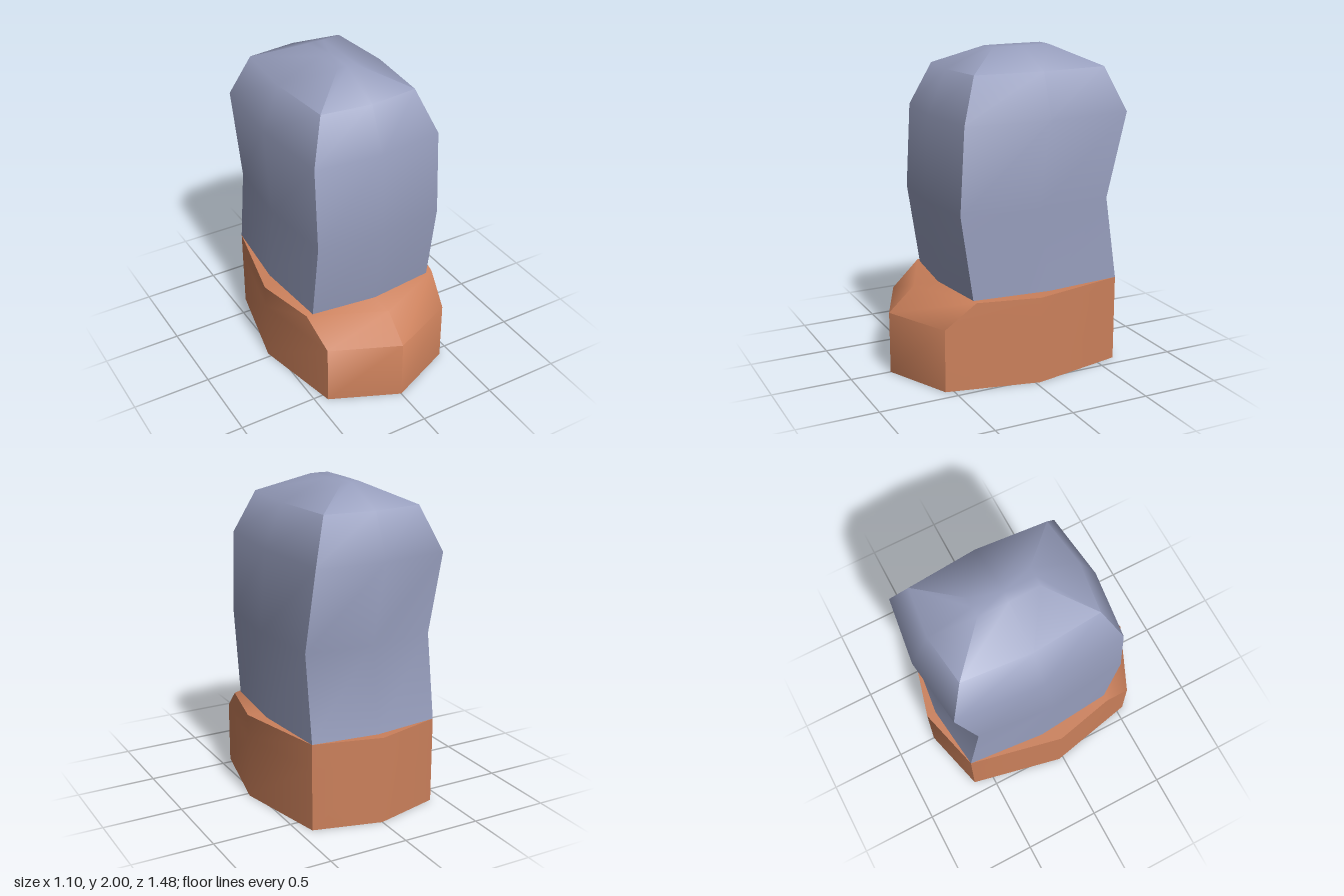
import * as THREE from 'three';
import { toCreasedNormals } from 'three/addons/utils/BufferGeometryUtils.js';

// Eight-sided ring: bulging middles of each side, plus four corners.
// y, frontX/backX = corner half widths, sideX/sideZ = side middle,
// zf/zfm = front corner and middle, zb/zbm = back corner and middle
function ring({ y, frontX, backX = frontX, sideX, sideZ, zf, zfm, zb, zbm }) {
  return [
    [0, zfm], [frontX, zf], [sideX, sideZ], [backX, zb],
    [0, zbm], [-backX, zb], [-sideX, sideZ], [-frontX, zf],
  ].map(([x, z]) => new THREE.Vector3(x, y, z));
}

// Skin the rings from bottom to top, with optional flat caps
function loft(rings, capBottom, creaseDegrees) {
  const points = rings.flat();
  const n = 8;
  const index = [];
  for (let r = 0; r < rings.length - 1; r++) {
    for (let i = 0; i < n; i++) {
      const a = r * n + i, b = r * n + (i + 1) % n;
      index.push(a, b, b + n, a, b + n, a + n);
    }
  }
  const cap = (r, up) => {
    const centre = new THREE.Vector3();
    rings[r].forEach((p) => centre.addScaledVector(p, 1 / n));
    const c = points.push(centre) - 1;
    for (let i = 0; i < n; i++) {
      const a = r * n + i, b = r * n + (i + 1) % n;
      index.push(c, up ? a : b, up ? b : a);
    }
  };
  cap(rings.length - 1, true);
  if (capBottom) cap(0, false);
  const geometry = new THREE.BufferGeometry().setFromPoints(points);
  geometry.setIndex(index);
  return toCreasedNormals(geometry, THREE.MathUtils.degToRad(creaseDegrees));
}

export function createModel() {
  const model = new THREE.Group();
  model.name = 'roundedBlockOnBase';

  const clay = new THREE.MeshStandardMaterial({ color: 0xcb805b });
  clay.name = 'terracotta';
  const slate = new THREE.MeshStandardMaterial({ color: 0x979ebd });
  slate.name = 'blueGrey';

  // Base: straight walls with a chamfered pointed front
  const foot = { frontX: 0.425, backX: 0.42, sideX: 0.55, sideZ: -0.03,
    zf: 0.55, zfm: 0.74, zb: -0.63, zbm: -0.74 };
  const base = new THREE.Mesh(loft([
    ring({ ...foot, y: 0 }),
    ring({ ...foot, y: 0.395 }),
    ring({ ...foot, y: 0.55, frontX: 0.463, zf: 0.36, zfm: 0.57 }),
  ], true, 50), clay);
  base.name = 'base';

  // Body: bent column ending in a faceted dome
  const body = new THREE.Mesh(loft([
    ring({ y: 0.55, frontX: 0.42, sideX: 0.465, sideZ: -0.13, zf: 0.36, zfm: 0.41, zb: -0.63, zbm: -0.68 }),
    ring({ y: 1.08, frontX: 0.42, sideX: 0.465, sideZ: -0.06, zf: 0.44, zfm: 0.485, zb: -0.55, zbm: -0.6 }),
    ring({ y: 1.61, frontX: 0.42, sideX: 0.465, sideZ: -0.13, zf: 0.41, zfm: 0.46, zb: -0.68, zbm: -0.735 }),
    ring({ y: 1.88, frontX: 0.315, sideX: 0.35, sideZ: -0.14, zf: 0.3, zfm: 0.34, zb: -0.575, zbm: -0.615 }),
    ring({ y: 2, frontX: 0.06, sideX: 0.065, sideZ: -0.14, zf: 0.055, zfm: 0.06, zb: -0.33, zbm: -0.335 }),
  ], false, 50), slate);
  body.name = 'body';

  model.add(base, body);
  return model;
}
